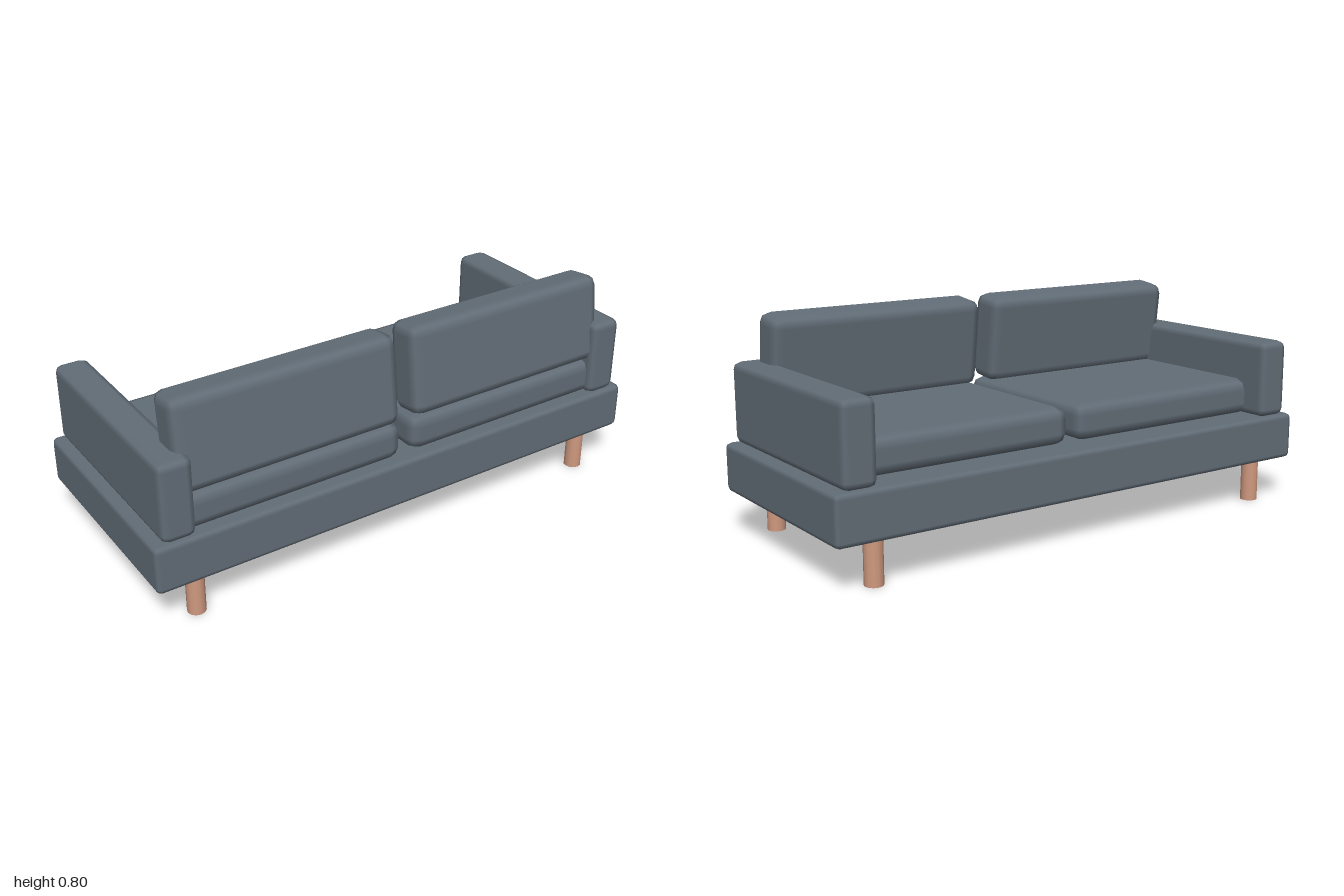
import * as THREE from 'three';
import { RoundedBoxGeometry } from 'three/addons/geometries/RoundedBoxGeometry.js';

export function createModel() {
  const sofa = new THREE.Group();
  sofa.name = 'sofa';

  const fabric = new THREE.MeshStandardMaterial({ color: 0x626d77 });
  fabric.name = 'slate fabric';
  const wood = new THREE.MeshStandardMaterial({ color: 0xd09a80 });
  wood.name = 'light wood';

  // Soft-edged block given by its size, bevel radius and centre
  function block(name, [w, h, d], radius, [x, y, z]) {
    const mesh = new THREE.Mesh(new RoundedBoxGeometry(w, h, d, 1, radius), fabric);
    mesh.name = name;
    mesh.position.set(x, y, z);
    sofa.add(mesh);
    return mesh;
  }

  // Platform carrying everything
  block('base', [2, 0.178, 0.846], 0.02, [0, 0.246, 0]);

  for (const side of [1, -1]) {
    const label = side > 0 ? 'left' : 'right';

    block(label + 'Arm', [0.125, 0.293, 0.83], 0.028, [side * 0.902, 0.478, 0]);
    block(label + 'SeatCushion', [0.86, 0.14, 0.71], 0.045, [side * 0.45, 0.4, 0.035]);

    // Back cushion, tilted with its top towards the seat
    const back = block(label + 'BackCushion', [0.855, 0.335, 0.15], 0.04, [side * 0.4575, 0.63, 0.304]);
    back.rotation.x = -0.115;

    // Round legs under each end
    for (const z of [0.36, -0.36]) {
      const leg = new THREE.Mesh(new THREE.CylinderGeometry(0.033, 0.033, 0.17, 12), wood);
      leg.name = label + (z > 0 ? 'BackrestLeg' : 'SeatLeg');
      leg.position.set(side * 0.84, 0.085, z);
      sofa.add(leg);
    }
  }

  return sofa;
}
